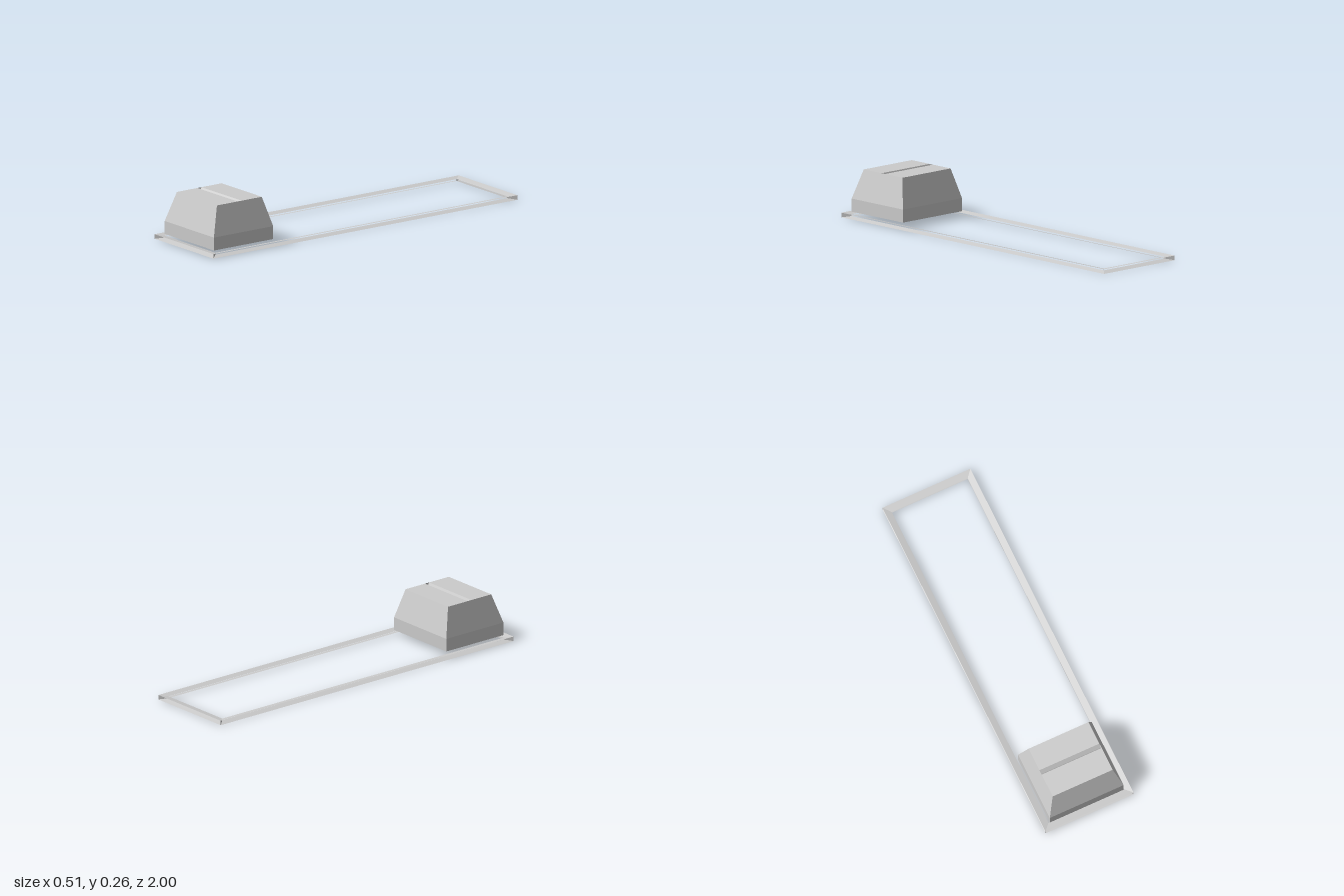
import * as THREE from 'three';

const material = new THREE.MeshStandardMaterial({ color: 0xcccccc, flatShading: true, side: THREE.DoubleSide });

// Mesh from four-cornered faces, corners anticlockwise seen from outside
function quadMesh(name, quads) {
  const points = quads.flatMap(([a, b, c, d]) => [a, b, c, a, c, d]).flat();
  const geometry = new THREE.BufferGeometry();
  geometry.setAttribute('position', new THREE.Float32BufferAttribute(points, 3));
  geometry.computeVertexNormals();
  const mesh = new THREE.Mesh(geometry, material);
  mesh.name = name;
  return mesh;
}

// Four corners of a level rectangle, anticlockwise seen from above
const ring = (x, y, zBack, zFront) => [[-x, y, zFront], [x, y, zFront], [x, y, zBack], [-x, y, zBack]];

// Side walls between two stacked rings
const walls = (low, high) => low.map((p, i) => {
  const j = (i + 1) % 4;
  return [p, low[j], high[j], high[i]];
});

function createBaseFrame() {
  const frame = new THREE.Group();
  frame.name = 'baseFrame';
  const topOuter = ring(0.255, 0.025, -1, 1);
  const topInner = ring(0.22, 0.018, -0.96, 0.96);
  const bottomInner = ring(0.22, 0.008, -0.96, 0.96);
  const bottomOuter = ring(0.255, 0, -1, 1);

  // Two sloping flanges, open between them
  frame.add(quadMesh('upperFlange', walls(topOuter, topInner)));
  frame.add(quadMesh('lowerFlange', walls(bottomInner, bottomOuter)));

  // Mitre plates joining the flanges at the corners
  frame.add(quadMesh('cornerPlates', topOuter.map((p, i) =>
    [bottomOuter[i], bottomInner[i], topInner[i], p])));
  return frame;
}

function createHousing() {
  const housing = new THREE.Group();
  housing.name = 'housing';
  const base = ring(0.214, 0.03, 0.575, 0.965);
  const shoulder = ring(0.214, 0.1, 0.575, 0.965);
  const rim = ring(0.174, 0.258, 0.62, 0.915);

  housing.add(quadMesh('bottomPlate', [[...base].reverse()]));
  housing.add(quadMesh('lowerWalls', walls(base, shoulder)));
  housing.add(quadMesh('taperedWalls', walls(shoulder, rim)));

  // Top with a shallow groove across it: [z, y] from back to front
  const profile = [[0.62, 0.258], [0.753, 0.258], [0.77, 0.238], [0.78, 0.258], [0.915, 0.258]];
  const strips = profile.slice(1).map(([z, y], i) => {
    const [zb, yb] = profile[i];
    return [[-0.174, y, z], [0.174, y, z], [0.174, yb, zb], [-0.174, yb, zb]];
  });
  housing.add(quadMesh('groovedTop', strips));
  return housing;
}

export function createModel() {
  const model = new THREE.Group();
  model.name = 'framedHousing';
  model.add(createBaseFrame(), createHousing());
  return model;
}
